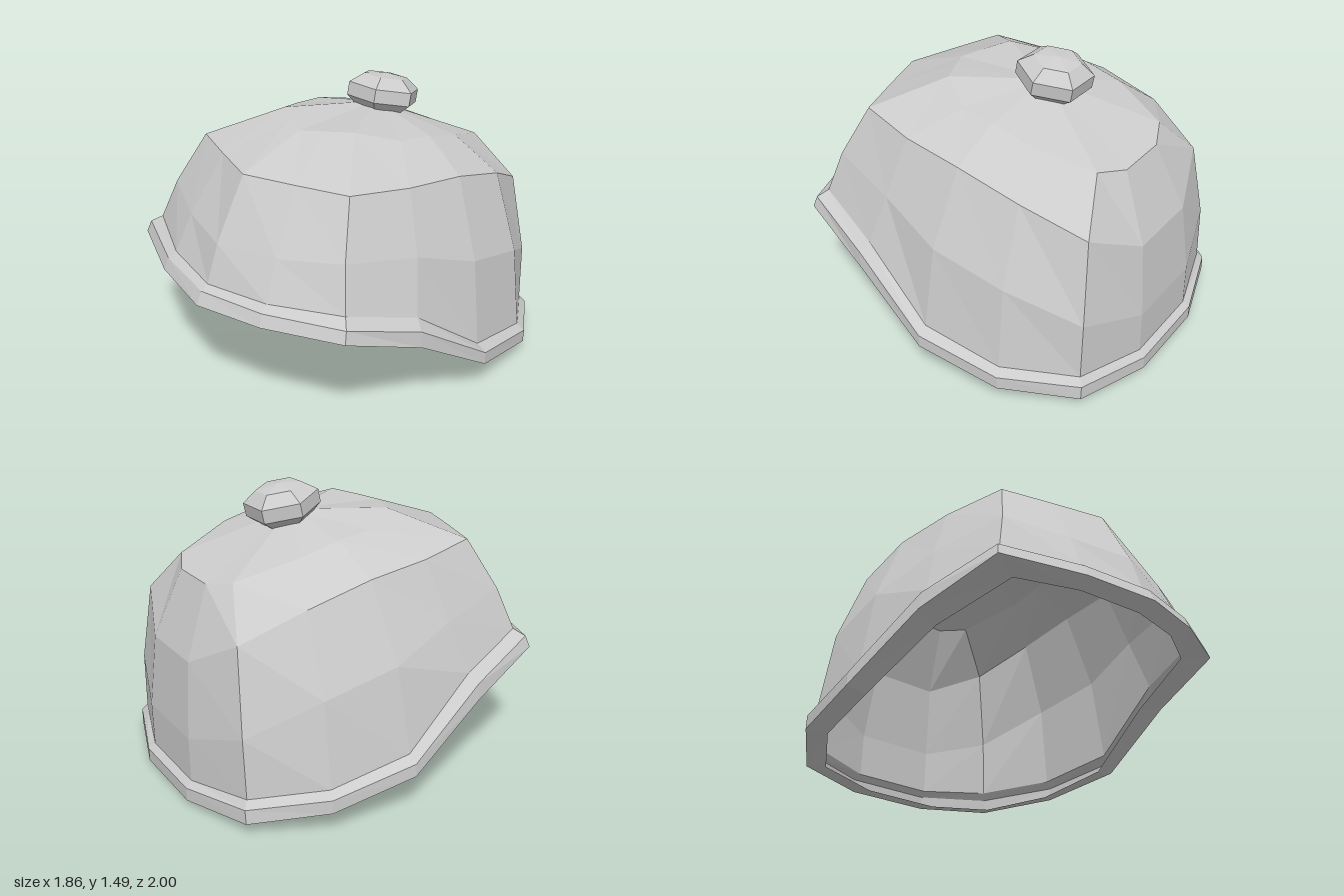
import * as THREE from 'three';

// Half outlines from the front centre round the left side to the back: [x, y, z]
const crown = [[0, 1.315, 0.33], [0.13, 1.33, 0.265], [0.255, 1.342, 0.2], [0.385, 1.285, 0], [0.405, 1.27, -0.19], [0.4, 1.22, -0.4], [0.29, 1.125, -0.71], [0.14, 1.09, -0.78]];
const shoulder = [[0, 1.185, 0.69], [0.27, 1.188, 0.6], [0.535, 1.192, 0.505], [0.61, 1.16, 0.18], [0.635, 1.13, -0.16], [0.615, 1.045, -0.5], [0.505, 0.9, -0.81], [0.2, 0.74, -0.925]];
const wall = [[0, 0.87, 0.86], [0.33, 0.885, 0.77], [0.64, 0.93, 0.63], [0.73, 0.86, 0.24], [0.8, 0.735, -0.12], [0.765, 0.645, -0.51], [0.59, 0.47, -0.85], [0.23, 0.35, -0.965]];
const hem = [[0, 0.677, 0.927], [0.355, 0.692, 0.857], [0.71, 0.715, 0.692], [0.81, 0.595, 0.31], [0.875, 0.297, -0.1], [0.825, 0.215, -0.52], [0.605, 0.162, -0.85], [0.23, 0.118, -0.965]];
const bandTop = [[0, 0.652, 0.967], [0.37, 0.662, 0.897], [0.76, 0.68, 0.735], [0.862, 0.55, 0.335], [0.93, 0.267, -0.1], [0.865, 0.182, -0.535], [0.63, 0.125, -0.875], [0.24, 0.09, -1]];
const bandBottom = [[0, 0.585, 0.998], [0.38, 0.6, 0.92], [0.775, 0.62, 0.755], [0.87, 0.465, 0.335], [0.932, 0.2, -0.1], [0.865, 0.112, -0.535], [0.635, 0.05, -0.875], [0.24, 0.02, -1]];
const opening = [[0, 0.555, 0.9], [0.33, 0.575, 0.83], [0.615, 0.59, 0.68], [0.735, 0.44, 0.29], [0.82, 0.187, -0.1], [0.77, 0.1, -0.48], [0.575, 0.04, -0.78], [0.225, 0.006, -0.87]];

// Mirror a half outline into a closed ring
const ring = (half) => [...half, ...half.slice(1).reverse().map(([x, y, z]) => [-x, y, z])];

// Join successive half outlines with flat faces
function loft(name, halves, material) {
  const rings = halves.map(ring);
  const pos = [];
  const n = rings[0].length;
  for (let i = 0; i < rings.length - 1; i++) {
    for (let k = 0; k < n; k++) {
      const m = (k + 1) % n;
      const a = rings[i][k], b = rings[i + 1][k], c = rings[i + 1][m], d = rings[i][m];
      pos.push(...a, ...b, ...c);
      if (a.join() !== d.join()) pos.push(...a, ...c, ...d);
    }
  }
  const geo = new THREE.BufferGeometry();
  geo.setAttribute('position', new THREE.Float32BufferAttribute(pos, 3));
  geo.computeVertexNormals();
  const mesh = new THREE.Mesh(geo, material);
  mesh.name = name;
  return mesh;
}

export function createModel() {
  const material = new THREE.MeshStandardMaterial({ color: 0xcccccc, flatShading: true, side: THREE.DoubleSide });
  const group = new THREE.Group();
  group.name = 'cap';

  // Thin open dome, closing to one point under the bobble
  const apex = crown.map(() => [0, 1.345, -0.22]);
  group.add(loft('dome', [apex, crown, shoulder, wall, hem], material));

  // Folded band: step out, outer face, then a flange turned inwards
  group.add(loft('band', [hem, bandTop, bandBottom, opening], material));

  // Six-sided bobble, leaning back
  const profile = [[0, -0.1], [0.13, -0.1], [0.193, -0.045], [0.193, 0.025], [0.12, 0.078], [0, 0.095]];
  const bobble = new THREE.Mesh(
    new THREE.LatheGeometry(profile.map(([r, y]) => new THREE.Vector2(r, y)), 6, Math.PI / 6),
    material,
  );
  bobble.name = 'bobble';
  bobble.position.set(0, 1.395, -0.27);
  bobble.rotation.x = -0.2;
  group.add(bobble);

  // Slight sideways tilt
  group.rotation.z = -0.024;
  group.position.x = -0.008;
  const model = new THREE.Group();
  model.add(group);
  return model;
}
